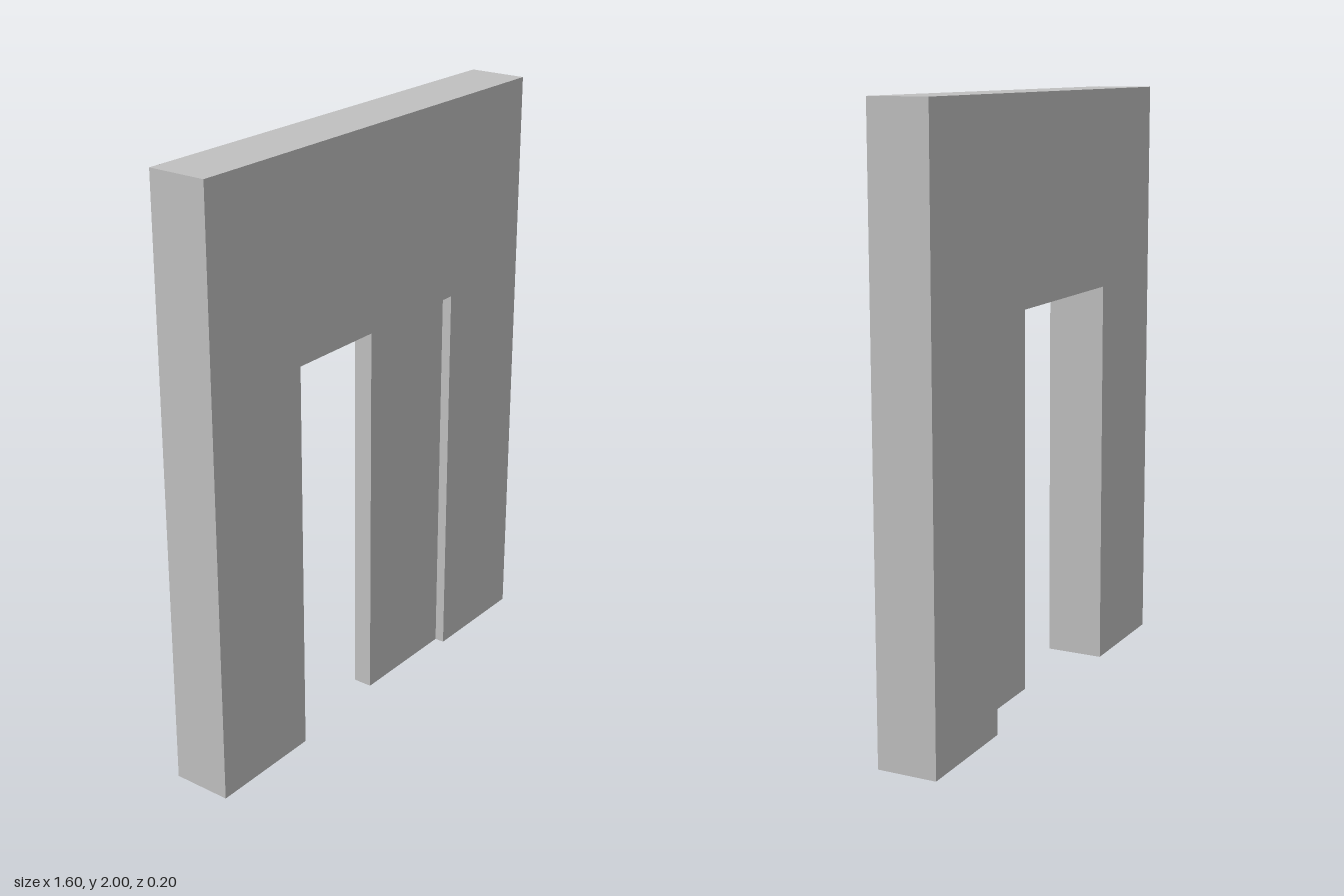
import * as THREE from 'three';

const H = 2, W = 0.8, D = 0.1;          // wall height, half width, half depth
const OPEN_W = 0.4, OPEN_H = 4 / 3;     // doorway half width and height

export function createModel() {
  const group = new THREE.Group();
  group.name = 'slidingDoorWall';
  const grey = new THREE.MeshStandardMaterial({ color: 0xc0c0c0, side: THREE.DoubleSide });
  grey.name = 'lightGrey';

  const add = (name, geometry, x, y, z) => {
    const mesh = new THREE.Mesh(geometry, grey);
    mesh.name = name;
    mesh.position.set(x, y, z);
    group.add(mesh);
    return mesh;
  };
  // Upright sheet facing sideways, from the ground up; side = +1 faces +x
  const upright = (name, x, height, side) => {
    add(name, new THREE.PlaneGeometry(2 * D, height), x, height / 2, 0).rotation.y = side * Math.PI / 2;
  };
  // Level sheet; side = +1 faces up
  const level = (name, y, halfWidth, side) => {
    add(name, new THREE.PlaneGeometry(2 * halfWidth, 2 * D), 0, y, 0).rotation.x = -side * Math.PI / 2;
  };

  // Front and back faces of the hollow wall, with the doorway cut out
  const outline = new THREE.Shape([
    [-W, 0], [-OPEN_W, 0], [-OPEN_W, OPEN_H], [OPEN_W, OPEN_H],
    [OPEN_W, 0], [W, 0], [W, H], [-W, H],
  ].map(([x, y]) => new THREE.Vector2(x, y)));
  add('wallFront', new THREE.ShapeGeometry(outline), 0, 0, D);
  add('wallBack', new THREE.ShapeGeometry(outline), 0, 0, -D).rotation.y = Math.PI;

  // Ends, doorway sides and the inner partitions; the legs stay open underneath
  for (const s of [-1, 1]) {
    const side = s > 0 ? 'left' : 'right';
    upright(side + 'WallEnd', s * W, H, s);
    upright(side + 'DoorwaySide', s * OPEN_W, OPEN_H, -s);
    upright(side + 'InnerPartition', s * 0.5, OPEN_H + 0.1, -s);
  }
  level('wallTop', H, W, 1);
  level('doorwayCeiling', OPEN_H, OPEN_W, -1);

  // Half-open sliding door, running into the left leg
  const doorLength = 0.795, doorThickness = 1 / 15;
  add('slidingDoor', new THREE.BoxGeometry(doorLength, OPEN_H, doorThickness),
    doorLength / 2, OPEN_H / 2, doorThickness / 2);

  return group;
}
